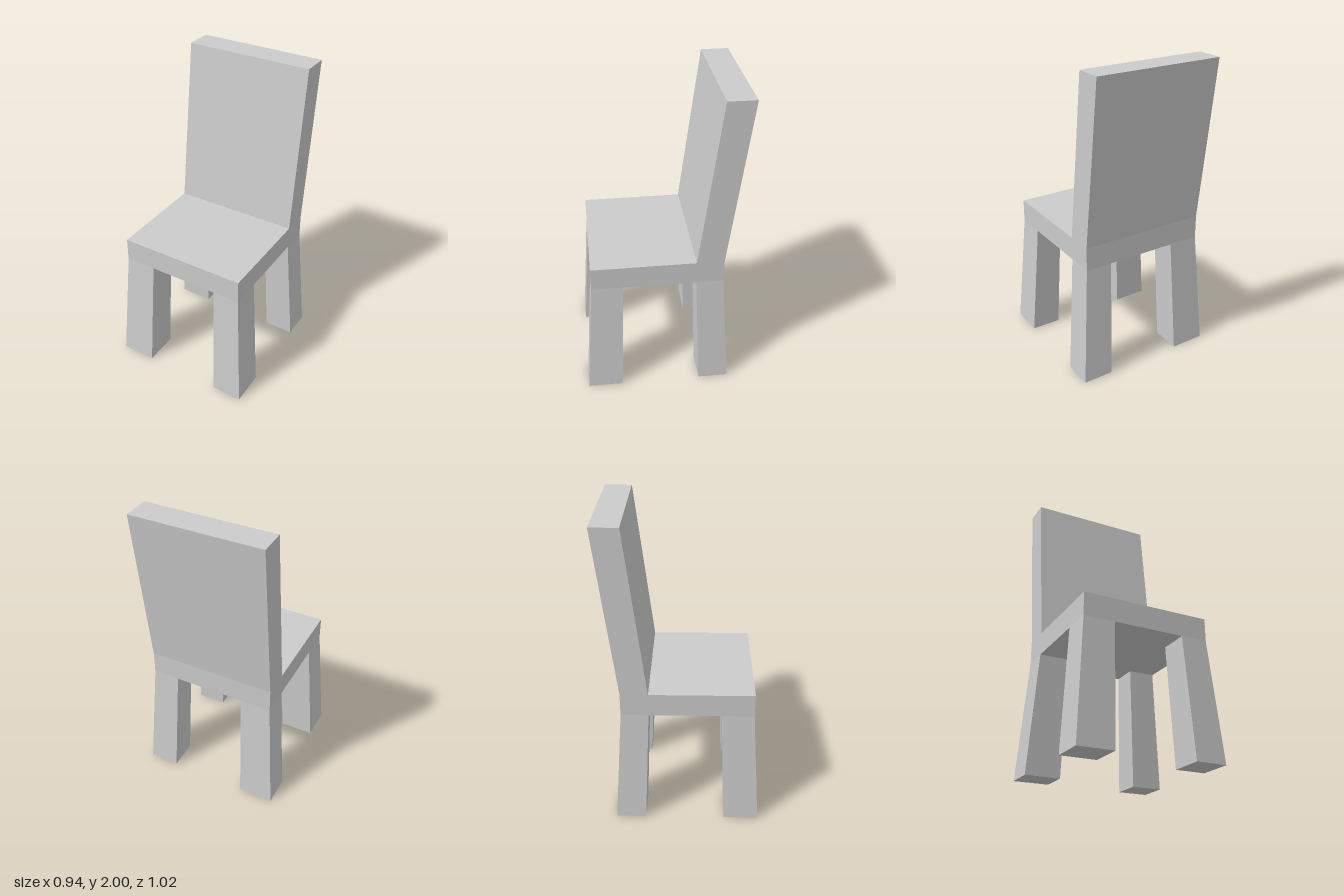
import * as THREE from 'three';

const material = new THREE.MeshStandardMaterial({ color: 0xcccccc, flatShading: true });

// Grid lines shared by the seat, the leg tops and the foot of the backrest
const XS = [-0.417, -0.215, 0.243, 0.417];
const ZS = [-0.38, -0.205, 0.26, 0.458];
const SEAT_BOTTOM = 0.78, SEAT_TOP = 0.93;

// Remove the numbered quads (6 indices each) where two parts join
function dropQuads(geometry, quads) {
  const index = Array.from(geometry.index.array);
  geometry.setIndex(index.filter((_, i) => !quads.includes(Math.floor(i / 6))));
  geometry.clearGroups();
}

function addMesh(group, name, geometry) {
  geometry.computeVertexNormals();
  const mesh = new THREE.Mesh(geometry, material);
  mesh.name = name;
  group.add(mesh);
}

// Slanted bar between two rectangles, each given as [x0, x1, z0, z1]
function bar(y0, bottom, y1, top, openQuad) {
  const geometry = new THREE.BoxGeometry(1, 1, 1);
  const p = geometry.attributes.position;
  for (let i = 0; i < p.count; i++) {
    const r = p.getY(i) > 0 ? top : bottom;
    p.setXYZ(i, r[p.getX(i) > 0 ? 1 : 0], p.getY(i) > 0 ? y1 : y0, r[p.getZ(i) > 0 ? 3 : 2]);
  }
  dropQuads(geometry, [openQuad]);
  return geometry;
}

// Seat slab, open under the backrest and over the four legs
function seat() {
  const geometry = new THREE.BoxGeometry(3, 1, 3, 3, 1, 3);
  const p = geometry.attributes.position;
  for (let i = 0; i < p.count; i++) {
    p.setXYZ(i, XS[Math.round(p.getX(i) + 1.5)],
      p.getY(i) > 0 ? SEAT_TOP : SEAT_BOTTOM, ZS[Math.round(p.getZ(i) + 1.5)]);
  }
  dropQuads(geometry, [6, 7, 8, 15, 17, 21, 23]);
  return geometry;
}

export function createModel() {
  const chair = new THREE.Group();
  chair.name = 'chair';

  addMesh(chair, 'seat', seat());

  // Backrest leaning to the rear
  addMesh(chair, 'backrest', bar(
    SEAT_TOP, [XS[0], XS[3], ZS[0], ZS[1]],
    2, [XS[0], XS[3], -0.51, -0.335], 3));

  // Splayed legs, slightly thicker at the feet
  const sidesX = [
    { name: 'Right', top: [XS[0], XS[1]], foot: [-0.47, -0.24] },
    { name: 'Left', top: [XS[2], XS[3]], foot: [0.272, 0.47] },
  ];
  const sidesZ = [
    { name: 'back', top: [ZS[0], ZS[1]], foot: [-0.43, -0.235] },
    { name: 'front', top: [ZS[2], ZS[3]], foot: [0.285, 0.51] },
  ];
  for (const z of sidesZ) {
    for (const x of sidesX) {
      addMesh(chair, `${z.name}${x.name}Leg`,
        bar(0, [...x.foot, ...z.foot], SEAT_BOTTOM, [...x.top, ...z.top], 2));
    }
  }
  return chair;
}
